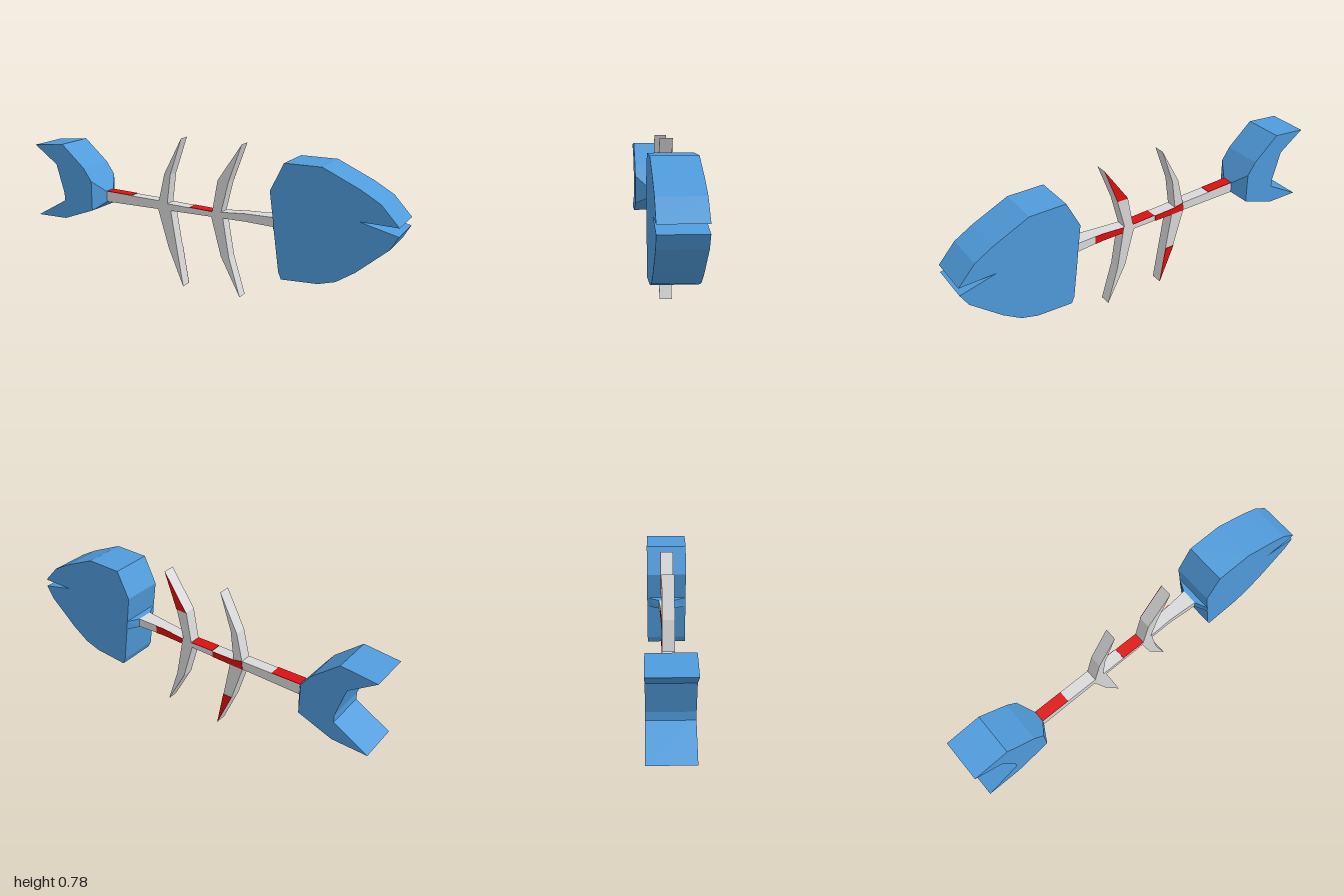
import * as THREE from 'three';

export function createModel() {
  const group = new THREE.Group();
  const paint = (name, color) => Object.assign(new THREE.MeshStandardMaterial({ color }), { name });
  const blue = paint('blue', 0x4f9bdb);
  const grey = paint('boneGrey', 0xd9d9d9);
  const red = paint('red', 0xdd1111);

  const add = (name, geometry, material) => {
    const mesh = new THREE.Mesh(geometry, material);
    mesh.name = name;
    group.add(mesh);
  };

  // Flat outline in x, y pushed from z0 to z1
  const slab = (name, points, z0, z1, material) => {
    const shape = new THREE.Shape(points.map(([x, y]) => new THREE.Vector2(x, y)));
    const geometry = new THREE.ExtrudeGeometry(shape, { depth: z1 - z0, bevelEnabled: false });
    geometry.translate(0, 0, z0);
    add(name, geometry, material);
  };

  // Four-sided sleeve between two sections: bottom and top points [x, y] and half width
  const sleeve = (name, a, b, material) => {
    const ring = ({ low, high, half }) => [
      [...low, half], [...low, -half], [...high, -half], [...high, half],
    ];
    const p = ring(a), q = ring(b), positions = [];
    for (let i = 0; i < 4; i++) {
      const j = (i + 1) % 4;
      positions.push(...p[i], ...p[j], ...q[j], ...p[i], ...q[j], ...q[i]);
    }
    const geometry = new THREE.BufferGeometry();
    geometry.setAttribute('position', new THREE.Float32BufferAttribute(positions, 3));
    geometry.computeVertexNormals();
    add(name, geometry, material);
  };

  const wide = 0.105, thin = 0.03;

  // Head with open mouth
  slab('head', [
    [0.45, 0.165], [0.635, 0.175], [0.72, 0.2], [0.81, 0.26], [0.96, 0.39], [0.997, 0.455],
    [0.815, 0.5], [0.997, 0.495], [0.91, 0.59], [0.815, 0.645], [0.635, 0.728], [0.45, 0.728],
    [0.383, 0.59], [0.402, 0.45], [0.408, 0.398], [0.435, 0.2],
  ], -wide, wide, blue);

  // Forked tail
  slab('tail', [
    [-1, 0.295], [-0.82, 0.297], [-0.64, 0.362], [-0.64, 0.52], [-0.685, 0.585], [-0.82, 0.702],
    [-1, 0.685], [-0.865, 0.59], [-0.82, 0.435], [-0.82, 0.395],
  ], -wide, wide, blue);

  // Spine and ribs in one outline
  slab('spineAndRibs', [
    [-0.595, 0.4], [-0.275, 0.4], [-0.215, 0.2], [-0.13, 0], [-0.165, 0.2], [-0.2, 0.4],
    [0.035, 0.4], [0.09, 0.2], [0.197, 0], [0.135, 0.2], [0.1, 0.4], [0.22, 0.4],
    [0.22, 0.44], [0.09, 0.43], [0.13, 0.59], [0.2, 0.78], [0.07, 0.59], [0.04, 0.425],
    [-0.22, 0.435], [-0.2, 0.59], [-0.135, 0.78], [-0.235, 0.59], [-0.27, 0.445], [-0.595, 0.455],
  ], -thin, thin, grey);

  // Joints that widen towards the head and tail
  const neckEnd = { low: [0.375, 0.398], high: [0.375, 0.445], half: 0.042 };
  sleeve('neck', { low: [0.22, 0.4], high: [0.22, 0.44], half: thin }, neckEnd, grey);
  sleeve('headSocket', neckEnd, { low: [0.408, 0.398], high: [0.402, 0.45], half: wide }, blue);
  sleeve('tailSocket',
    { low: [-0.64, 0.362], high: [-0.64, 0.52], half: wide },
    { low: [-0.595, 0.4], high: [-0.595, 0.455], half: thin }, blue);

  // Red patches on top of the spine
  const t = 0.003;
  const topPatches = [
    [[-0.595, 0.455], [-0.44, 0.45]],
    [[-0.09, 0.43], [0.04, 0.425]],
  ];
  for (const [[x0, y0], [x1, y1]] of topPatches) {
    slab('redTopPatch', [[x0, y0], [x1, y1], [x1, y1 + t], [x0, y0 + t]], -thin, thin, red);
  }

  // Red patches on the back of the spine and rib tips
  const backPatches = [
    [[-0.275, 0.4], [-0.095, 0.4], [-0.095, 0.43], [-0.22, 0.435], [-0.27, 0.445]],
    [[0.07, 0.59], [0.13, 0.59], [0.2, 0.78]],
    [[-0.215, 0.2], [-0.13, 0], [-0.165, 0.2]],
    [[0.1, 0.4], [0.22, 0.4], [0.22, 0.44], [0.095, 0.43]],
  ];
  for (const points of backPatches) slab('redBackPatch', points, -thin - t, -thin, red);

  // Last piece of the back patch follows the widening neck
  sleeve('redNeckPatch',
    { low: [0.22, 0.4], high: [0.22, 0.44], half: t / 2 },
    { low: [0.265, 0.4], high: [0.265, 0.441], half: t / 2 }, red);
  const neckPatch = group.children[group.children.length - 1];
  neckPatch.geometry.translate(-0.22, 0, 0);
  neckPatch.position.set(0.22, 0, -thin - t / 2);
  neckPatch.rotation.y = Math.atan2(0.012, 0.155);

  return group;
}
